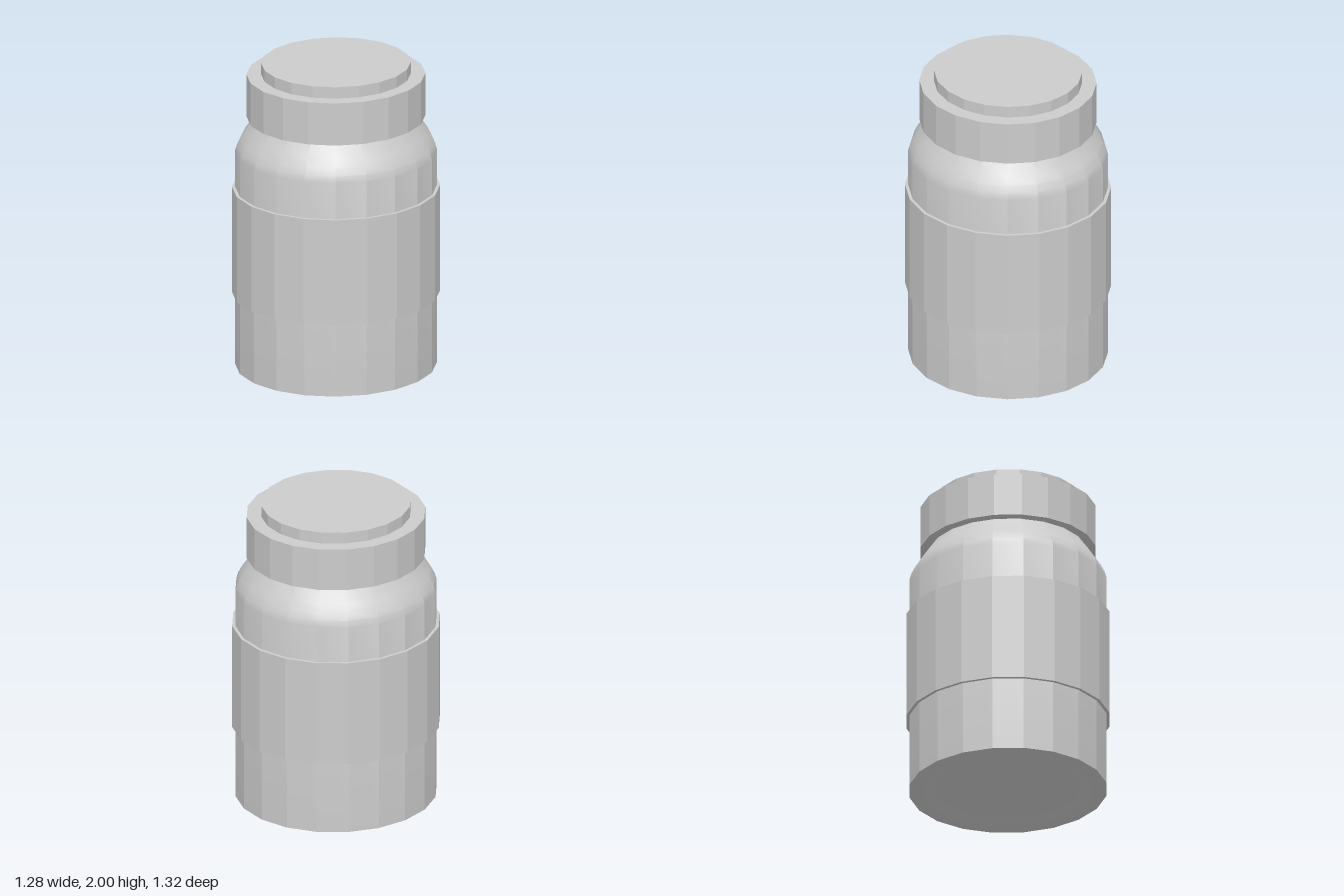
import * as THREE from 'three';
import { toCreasedNormals } from 'three/addons/utils/BufferGeometryUtils.js';

const SIDES = 20;
const DEPTH = 1.03; // the jar is slightly deeper than wide

export function createModel() {
  const group = new THREE.Group();
  group.name = 'jar';
  const material = new THREE.MeshStandardMaterial({ color: 0xcccccc });

  // Turns a [radius, y] profile, listed bottom to top, into a faceted part.
  function turned(name, profile) {
    const points = profile.map(([r, y]) => new THREE.Vector2(r, y));
    const lathe = new THREE.LatheGeometry(points, SIDES);
    lathe.scale(1, 1, DEPTH);
    const mesh = new THREE.Mesh(toCreasedNormals(lathe, 0.3), material);
    mesh.name = name;
    group.add(mesh);
  }

  // Closed drum with flat ends
  const drum = (name, r, y0, y1) => turned(name, [[0, y0], [r, y0], [r, y1], [0, y1]]);

  // Body with a shallow recessed base and a rounded shoulder running up into the lid
  turned('body', [
    [0, 0.03], [0.46, 0.03], [0.53, 0], [0.62, 0],
    [0.62, 1.42], [0.609, 1.46], [0.587, 1.505], [0.557, 1.55], [0.49, 1.645], [0.475, 1.68], [0, 1.68],
  ]);

  drum('labelBand', 0.64, 0.48, 1.18);
  drum('lidRing', 0.55, 1.645, 1.925);
  drum('lidDisc', 0.46, 1.9, 2);

  return group;
}
